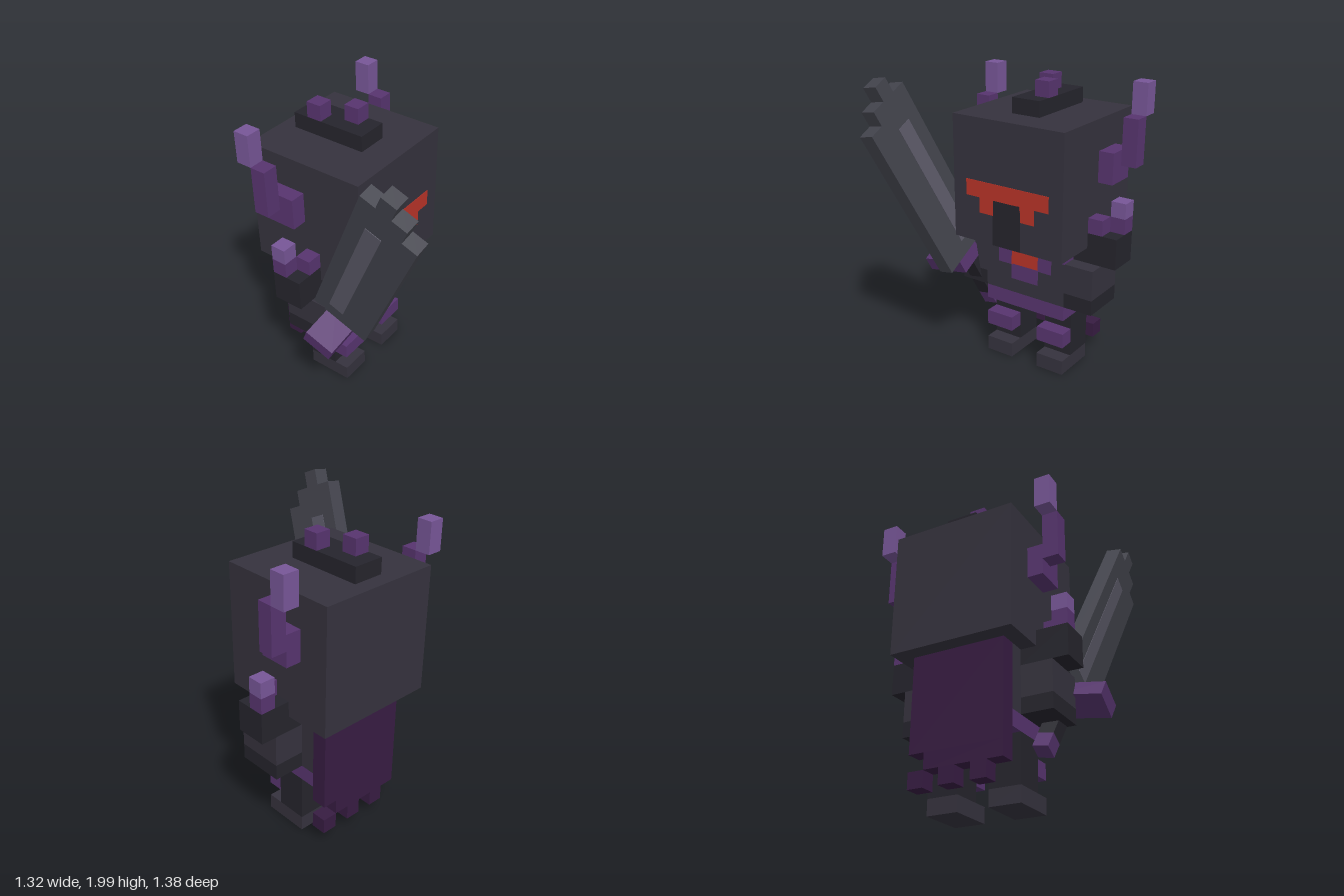
import * as THREE from 'three';

const U = 0.102; // size of one block
const mat = (color) => new THREE.MeshStandardMaterial({ color, flatShading: true });
const M = {
  armour: mat(0x35323d), dark: mat(0x25242c), purple: mat(0x57346f), light: mat(0x775697),
  red: mat(0xb83328), cape: mat(0x371c42), blade: mat(0x42434c), fuller: mat(0x5b5967),
};

// Box given by its min and max corners in blocks; grow lifts inlays off the surface
function box(parent, name, m, [x0, x1], [y0, y1], [z0, z1], grow = 0) {
  const g = new THREE.BoxGeometry(x1 - x0 + 2 * grow, y1 - y0 + 2 * grow, z1 - z0 + 2 * grow);
  const mesh = new THREE.Mesh(g, M[m]);
  mesh.position.set((x0 + x1) / 2, (y0 + y1) / 2, (z0 + z1) / 2);
  mesh.name = name;
  parent.add(mesh);
  return mesh;
}

// Same box on both sides of the body
function pair(parent, name, m, [x0, x1], y, z, grow = 0) {
  box(parent, name + 'Left', m, [x0, x1], y, z, grow);
  box(parent, name + 'Right', m, [-x1, -x0], y, z, grow);
}

function part(parent, name) {
  const g = new THREE.Group();
  g.name = name;
  parent.add(g);
  return g;
}

export function createModel() {
  const root = new THREE.Group();
  root.name = 'armouredKnight';
  const body = part(root, 'body');
  body.scale.setScalar(U);
  body.position.set(0.048, 0, -0.278);
  const E = 0.03;

  // Helmet with visor slit, nose guard, crest and horns
  const head = part(body, 'head');
  box(head, 'helmet', 'armour', [-4, 4], [9, 17], [-4, 4]);
  box(head, 'visorSlit', 'red', [-3, 3], [12, 13], [3, 4], E);
  pair(head, 'eye', 'red', [1, 2], [11, 12], [3, 4], E);
  box(head, 'noseGuard', 'dark', [-1, 1], [9.04, 12], [3, 4], E);
  box(head, 'crest', 'dark', [-1, 1], [17, 18], [-3, 2]);
  box(head, 'crestSpikeBack', 'purple', [-1, 0], [18, 19], [-2, -1]);
  box(head, 'crestSpikeFront', 'purple', [0, 1], [18, 19], [0, 1]);
  pair(head, 'hornBase', 'purple', [4, 5], [13, 15], [-2, 0]);
  pair(head, 'hornMiddle', 'purple', [5, 6], [14, 17], [-2, -1]);
  pair(head, 'hornTip', 'light', [5, 6], [17, 19], [-3, -2]);

  // Torso with inlaid collar, gem and belt
  const torso = part(body, 'torso');
  box(torso, 'chest', 'armour', [-3, 3], [5, 9], [-2, 2]);
  pair(torso, 'collarOuter', 'purple', [1, 3], [8, 8.96], [1, 2], E);
  pair(torso, 'collarInner', 'purple', [1, 2], [7, 8], [1, 2], E);
  box(torso, 'collarPoint', 'purple', [-1, 1], [6, 7], [1, 2], E);
  box(torso, 'chestGem', 'red', [-1, 1], [7, 8], [1, 2], E);
  box(torso, 'belt', 'purple', [-3, 3], [4, 5], [-2, 2]);

  // Arms and spiked shoulder guards
  const arms = part(body, 'arms');
  pair(arms, 'shoulderGuard', 'dark', [3, 6], [8, 10], [-1, 1]);
  pair(arms, 'shoulderStud', 'purple', [4, 5], [10, 11], [0, 1]);
  pair(arms, 'shoulderSpikeBase', 'purple', [5, 6], [10, 11], [-1, 0]);
  pair(arms, 'shoulderSpikeTip', 'light', [5, 6], [11, 12], [-1, 0]);
  pair(arms, 'forearm', 'armour', [3, 5], [6, 8], [-1, 2]);
  pair(arms, 'hand', 'dark', [3, 5], [5, 6], [-1, 2]);

  // Legs
  const legs = part(body, 'legs');
  pair(legs, 'leg', 'dark', [1, 3], [1, 4], [-1, 1]);
  pair(legs, 'kneeGuard', 'purple', [1, 3], [2, 3], [1, 2]);
  pair(legs, 'foot', 'armour', [1, 3], [0, 1], [-1, 2]);

  // Cape with a ragged hem
  const cape = part(body, 'cape');
  box(cape, 'capeCloth', 'cape', [-3, 3], [3, 9], [-3, -2]);
  box(cape, 'capeHem', 'cape', [-3, 2], [2, 3], [-3, -2]);
  for (const x of [-2, 0, 2]) box(cape, 'capeTatter', 'cape', [x, x + 1], [1, 2], [-3, -2]);

  // Tilted sword: stepped blade columns, origin at the blade's lower front corner
  const sword = part(root, 'sword');
  sword.scale.setScalar(U);
  sword.position.set(-0.432, 0.663, 0.215);
  sword.rotation.set(THREE.MathUtils.degToRad(25), 0, THREE.MathUtils.degToRad(9.8), 'ZXY');
  [11, 12, 13, 12].forEach((h, i) => box(sword, 'blade', 'blade', [0, 1], [0, h], [-i - 1, -i]));
  box(sword, 'fuller', 'fuller', [0, 1], [1, 10], [-3, -2], E);
  box(sword, 'guard', 'purple', [-2, 1], [-1, 0], [-3, -1]);
  box(sword, 'grip', 'dark', [0, 1], [-4, -1], [-3, -2]);
  box(sword, 'pommel', 'purple', [0, 1], [-5, -4], [-3, -2]);

  return root;
}
